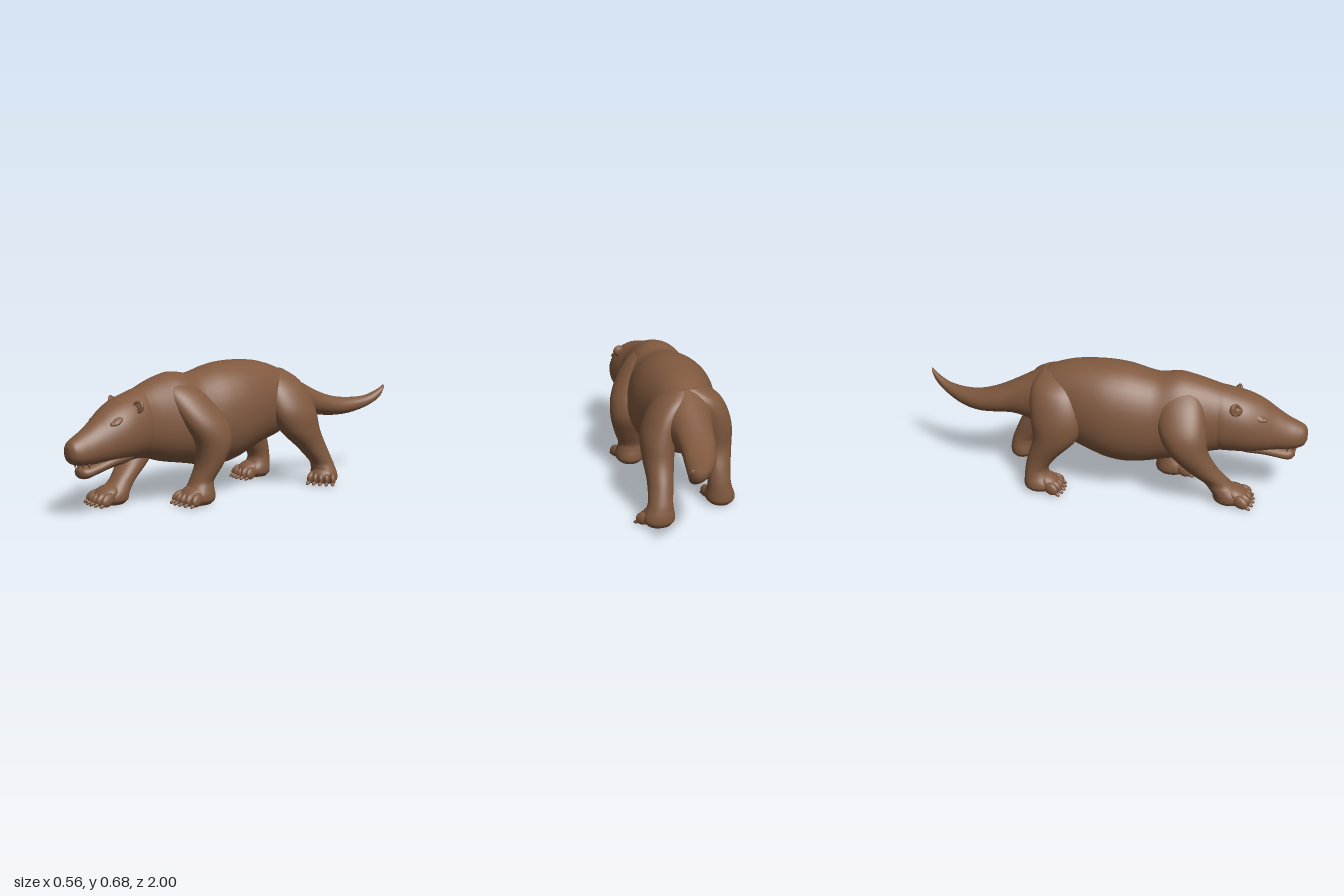
import * as THREE from 'three';

const hide = new THREE.MeshStandardMaterial({ color: 0x80593f });
hide.name = 'brown hide';

// Catmull-Rom through rows of numbers
function smoothRows(rows, sub) {
  const out = [], n = rows.length;
  for (let i = 0; i < n - 1; i++) {
    const a = rows[Math.max(i - 1, 0)], b = rows[i], c = rows[i + 1], d = rows[Math.min(i + 2, n - 1)];
    for (let s = 0; s < sub; s++) {
      const t = s / sub;
      out.push(b.map((v, k) => v + 0.5 * t * (c[k] - a[k] + t * (2 * a[k] - 5 * v + 4 * c[k] - d[k] + t * (3 * (v - c[k]) + d[k] - a[k])))));
    }
  }
  out.push(rows[n - 1]);
  return out;
}

// Skin closed rings of points, with a point at each end
function skin(rings) {
  const pos = [], idx = [], m = rings[0].length, n = rings.length;
  rings.forEach(r => r.forEach(p => pos.push(...p)));
  for (let i = 0; i < n - 1; i++) for (let j = 0; j < m; j++) {
    const a = i * m + j, b = i * m + (j + 1) % m;
    idx.push(a, b, b + m, a, b + m, a + m);
  }
  [0, n - 1].forEach((r, end) => {
    const c = pos.length / 3, mid = [0, 1, 2].map(k => rings[r].reduce((s, p) => s + p[k] / m, 0));
    pos.push(...mid);
    for (let j = 0; j < m; j++) {
      const a = r * m + j, b = r * m + (j + 1) % m;
      if (end) idx.push(c, a, b); else idx.push(c, b, a);
    }
  });
  const g = new THREE.BufferGeometry();
  g.setAttribute('position', new THREE.Float32BufferAttribute(pos, 3));
  g.setIndex(idx);
  g.computeVertexNormals();
  return g;
}

// Slightly squared ring
const soft = v => Math.sign(v) * Math.abs(v) ** 0.95;
const around = f => Array.from({ length: 40 }, (_, j) => f(soft(Math.cos(j * Math.PI / 20)), soft(Math.sin(j * Math.PI / 20))));

// Rows along z: z, centre x, bottom y, top y, half width, egg (wider below)
const alongZ = rows => skin(smoothRows(rows, 5).map(([z, x, lo, hi, w, egg]) =>
  around((c, s) => [x + c * w * (1 - egg * s), (lo + hi) / 2 + s * (hi - lo) / 2, z])));

// Rows up y: y, centre x, centre z, half width x, half depth z
const alongY = rows => skin(smoothRows(rows, 5).map(([y, x, z, w, d]) =>
  around((c, s) => [x + s * w, y, z + c * d])));

function add(parent, name, geo, p = [0, 0, 0], r = [0, 0, 0], s = [1, 1, 1]) {
  const m = new THREE.Mesh(geo, hide);
  m.name = name;
  m.position.set(...p);
  m.rotation.set(...r);
  m.scale.set(...s);
  parent.add(m);
}

const ball = new THREE.SphereGeometry(1, 24, 16);

// Five fanned toes with blunt claws and a sloping instep, pointing along their own +z
function toes(parent, name, x, z, turn, width, length) {
  const g = new THREE.Group();
  g.name = name;
  g.position.set(x, 0, z);
  g.rotation.y = turn;
  add(g, 'instep', ball, [0, 0.058, 0.012], [0.45, 0, 0], [width * 0.85, 0.04, length * 0.7]);
  for (let i = -2; i <= 2; i++) {
    const a = i * 0.15, reach = length * (1 - 0.06 * i * i);
    const tx = i * width * 0.39, tz = reach * 0.5;
    add(g, 'toe', ball, [tx, 0.041, tz], [0.42, a, 0], [width * 0.25, 0.031, length * 0.46]);
    add(g, 'claw', ball, [tx + Math.sin(a) * 0.03, 0.018, tz + length * 0.38], [0.45, a, 0], [0.01, 0.009, 0.02]);
  }
  parent.add(g);
}

export function createModel() {
  const model = new THREE.Group();
  model.name = 'animal';

  // Tail, trunk and neck in one skin
  add(model, 'body', alongZ([
    [-1.0, 0.12, 0.468, 0.49, 0.009, 0], [-0.97, 0.109, 0.418, 0.466, 0.02, 0],
    [-0.9, 0.08, 0.374, 0.434, 0.035, 0], [-0.8, 0.04, 0.342, 0.428, 0.056, 0],
    [-0.7, 0.01, 0.335, 0.443, 0.074, 0], [-0.6, -0.008, 0.345, 0.48, 0.085, 0],
    [-0.5, -0.012, 0.35, 0.53, 0.095, 0], [-0.4, -0.012, 0.32, 0.585, 0.118, 0],
    [-0.3, -0.018, 0.27, 0.635, 0.148, 0], [-0.2, -0.022, 0.24, 0.667, 0.172, 0],
    [-0.1, -0.024, 0.205, 0.679, 0.197, 0.02], [0.0, -0.023, 0.168, 0.68, 0.212, 0.02],
    [0.1, -0.02, 0.155, 0.67, 0.209, 0.04], [0.2, -0.017, 0.165, 0.645, 0.195, 0.07],
    [0.26, -0.015, 0.178, 0.637, 0.187, 0.09], [0.35, -0.013, 0.195, 0.65, 0.178, 0.1],
    [0.43, -0.01, 0.21, 0.635, 0.163, 0.1], [0.52, 0.0, 0.238, 0.606, 0.143, 0.08],
    [0.6, 0.015, 0.252, 0.572, 0.13, 0.04], [0.66, 0.025, 0.29, 0.53, 0.08, 0],
  ]));

  // Head, tapering to a blunt muzzle, and the lower jaw
  const head = new THREE.Group();
  head.name = 'head';
  model.add(head);
  add(head, 'skullAndMuzzle', alongZ([
    [0.48, 0.0, 0.3, 0.57, 0.09, 0], [0.55, 0.006, 0.252, 0.59, 0.135, 0.07],
    [0.64, 0.02, 0.246, 0.568, 0.146, 0.08], [0.71, 0.03, 0.244, 0.546, 0.141, 0.08],
    [0.78, 0.041, 0.247, 0.51, 0.12, 0.1], [0.84, 0.051, 0.253, 0.466, 0.096, 0.14],
    [0.9, 0.059, 0.255, 0.425, 0.079, 0.16], [0.95, 0.065, 0.262, 0.398, 0.066, 0.14],
    [0.983, 0.069, 0.276, 0.378, 0.049, 0.06], [0.998, 0.07, 0.305, 0.352, 0.022, 0],
  ]));
  add(head, 'lowerJaw', alongZ([
    [0.62, 0.025, 0.26, 0.33, 0.09, 0], [0.7, 0.036, 0.238, 0.32, 0.095, 0],
    [0.78, 0.048, 0.226, 0.3, 0.085, 0], [0.85, 0.057, 0.207, 0.273, 0.069, 0],
    [0.9, 0.063, 0.193, 0.257, 0.058, 0], [0.928, 0.065, 0.196, 0.25, 0.044, 0],
    [0.942, 0.066, 0.21, 0.238, 0.02, 0],
  ]));
  add(head, 'nose', ball, [0.07, 0.352, 0.958], [0.3, 0, 0], [0.046, 0.033, 0.034]);
  for (const side of [-1, 1]) {
    add(head, 'brow', ball, [0.04 + side * 0.075, 0.464, 0.755], [0.6, side * 0.5, -side * 0.3], [0.036, 0.016, 0.05]);
    add(head, 'eye', ball, [0.04 + side * 0.09, 0.445, 0.782], [0, 0, 0], [0.015, 0.013, 0.018]);
    add(head, 'nostril', ball, [0.07 + side * 0.022, 0.338, 0.981], [0, side * 0.5, 0], [0.011, 0.008, 0.008]);
    // Cupped ear: rim around a thick back, set on a broad root
    const ear = new THREE.Group();
    ear.name = 'ear';
    ear.position.set(0.013 + side * 0.122, 0.516, 0.645);
    ear.rotation.set(-0.15, side < 0 ? -0.7 : 0.35, -side * 0.9);
    add(ear, 'earRim', new THREE.TorusGeometry(0.024, 0.008, 10, 28));
    add(ear, 'earBack', ball, [0, 0, -0.009], [0, 0, 0], [0.028, 0.028, 0.014]);
    add(ear, 'earRoot', ball, [0, -0.028, -0.008], [0, 0, 0], [0.026, 0.03, 0.02]);
    head.add(ear);
    for (const [dx, z] of [[0.014, 0.945], [0.034, 0.932], [0.047, 0.905]])
      add(head, 'tooth', new THREE.ConeGeometry(0.008, 0.024, 10), [0.067 + side * dx, 0.256, z], [Math.PI, 0, 0]);
  }

  // Legs caught in mid stride, each from the rounded heel and sole to shoulder or hip
  add(model, 'leftFrontLeg', alongY([
    [0.004, 0.147, 0.3, 0.055, 0.065], [0.025, 0.147, 0.3, 0.075, 0.084], [0.055, 0.147, 0.298, 0.077, 0.083],
    [0.09, 0.146, 0.288, 0.069, 0.067], [0.125, 0.147, 0.277, 0.065, 0.058],
    [0.2, 0.161, 0.245, 0.078, 0.066], [0.3, 0.17, 0.228, 0.09, 0.095], [0.4, 0.153, 0.26, 0.094, 0.122],
    [0.5, 0.105, 0.31, 0.086, 0.12], [0.57, 0.06, 0.34, 0.072, 0.1], [0.62, 0.01, 0.355, 0.045, 0.06],
  ]));
  add(model, 'rightFrontLeg', alongY([
    [0.004, -0.117, 0.635, 0.05, 0.06], [0.025, -0.117, 0.635, 0.073, 0.08], [0.055, -0.118, 0.628, 0.075, 0.08],
    [0.09, -0.121, 0.597, 0.066, 0.072], [0.125, -0.125, 0.563, 0.062, 0.068],
    [0.2, -0.15, 0.49, 0.079, 0.08], [0.3, -0.175, 0.425, 0.094, 0.1], [0.4, -0.168, 0.395, 0.097, 0.12],
    [0.5, -0.122, 0.378, 0.087, 0.118], [0.57, -0.07, 0.368, 0.072, 0.1], [0.62, -0.025, 0.36, 0.045, 0.06],
  ]));
  add(model, 'leftHindLeg', alongY([
    [0.008, 0.167, -0.525, 0.055, 0.045], [0.03, 0.167, -0.522, 0.075, 0.063], [0.06, 0.165, -0.522, 0.075, 0.064],
    [0.095, 0.16, -0.518, 0.065, 0.061], [0.13, 0.155, -0.505, 0.06, 0.063],
    [0.21, 0.145, -0.448, 0.064, 0.086], [0.3, 0.14, -0.375, 0.077, 0.117], [0.4, 0.13, -0.335, 0.086, 0.135],
    [0.5, 0.095, -0.315, 0.08, 0.13], [0.57, 0.05, -0.3, 0.07, 0.11], [0.62, 0.01, -0.285, 0.04, 0.06],
  ]));
  add(model, 'rightHindLeg', alongY([
    [0.012, -0.187, -0.338, 0.052, 0.06], [0.032, -0.187, -0.336, 0.072, 0.078], [0.06, -0.185, -0.338, 0.073, 0.078],
    [0.095, -0.181, -0.35, 0.063, 0.064], [0.135, -0.178, -0.35, 0.058, 0.06],
    [0.2, -0.175, -0.318, 0.066, 0.078], [0.3, -0.174, -0.255, 0.085, 0.113], [0.4, -0.165, -0.245, 0.095, 0.135],
    [0.5, -0.133, -0.255, 0.097, 0.135], [0.57, -0.09, -0.265, 0.09, 0.115], [0.62, -0.035, -0.27, 0.055, 0.07],
  ]));

  toes(model, 'leftFrontToes', 0.148, 0.325, 0.1, 0.08, 0.1);
  toes(model, 'rightFrontToes', -0.115, 0.66, -0.03, 0.083, 0.1);
  toes(model, 'leftHindToes', 0.18, -0.505, 0.6, 0.072, 0.082);
  toes(model, 'rightHindToes', -0.187, -0.3, -0.03, 0.072, 0.092);
  return model;
}
